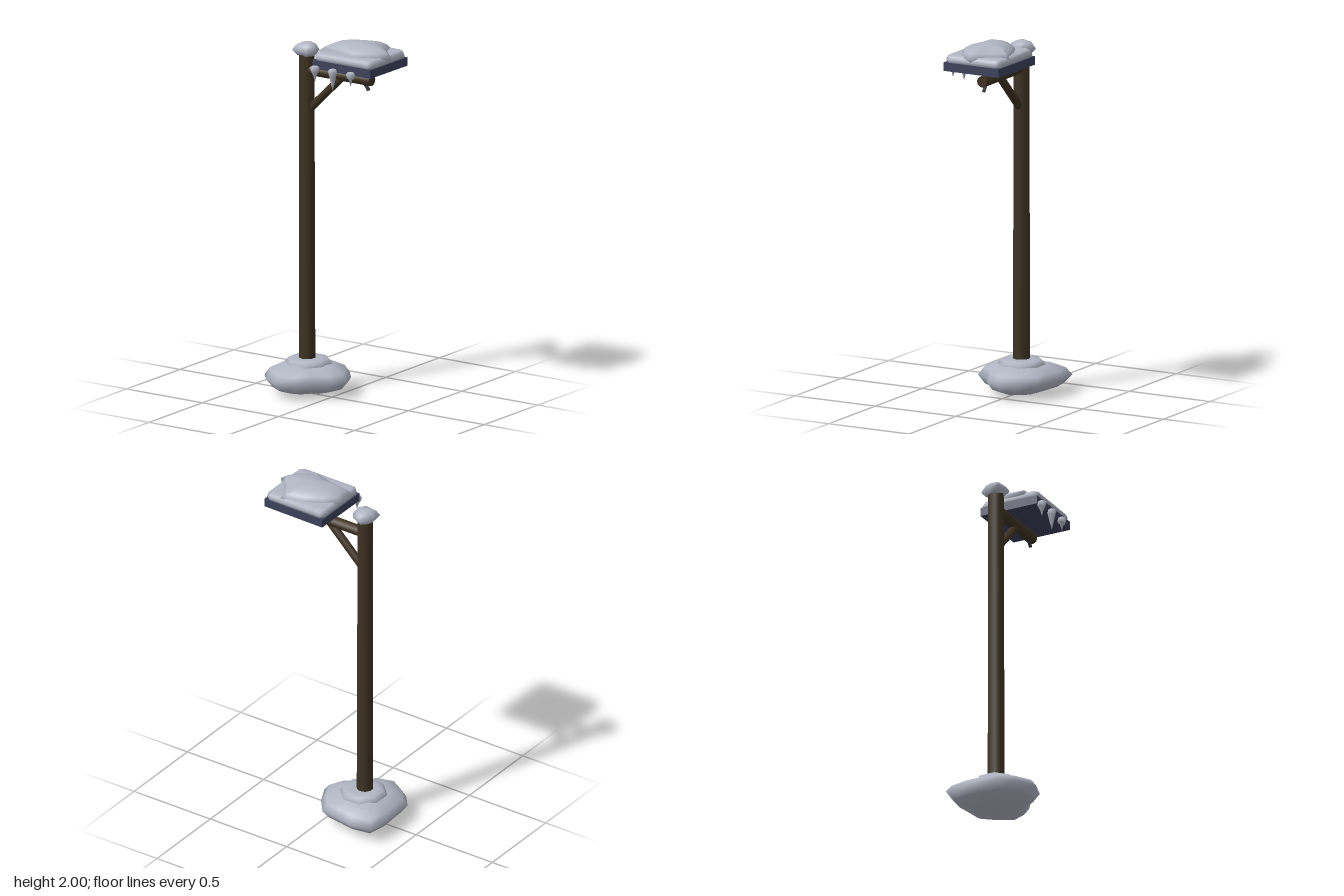
import * as THREE from 'three';

export function createModel() {
  const model = new THREE.Group();
  const mat = (name, color) => Object.assign(new THREE.MeshStandardMaterial({ color }), { name });
  const snow = mat('snow', 0xb0b5c2);
  const wood = mat('dark wood', 0x3e3222);
  const slate = mat('slate panel', 0x3c425a);
  const iron = mat('dark iron', 0x34363d);

  const add = (name, geometry, material) => {
    const mesh = new THREE.Mesh(geometry, material);
    mesh.name = name;
    model.add(mesh);
    return mesh;
  };

  // Smooth lump: an [x, z] outline scaled about (cx, cz) at each [y, scale] ring, closed at both ends
  function lump(name, outline, cx, cz, rings, yBottom, yTop, material = snow) {
    const n = outline.length, pos = [], idx = [];
    for (const [y, s] of rings)
      for (const [x, z] of outline) pos.push(cx + (x - cx) * s, y, cz + (z - cz) * s);
    const bottom = n * rings.length, top = bottom + 1, last = n * (rings.length - 1);
    pos.push(cx, yBottom, cz, cx, yTop, cz);
    for (let j = 0; j < n; j++) {
      const k = (j + 1) % n;
      for (let o = 0; o < last; o += n)
        idx.push(o + j, o + n + j, o + k, o + k, o + n + j, o + n + k);
      idx.push(bottom, j, k, top, last + k, last + j);
    }
    const g = new THREE.BufferGeometry();
    g.setAttribute('position', new THREE.Float32BufferAttribute(pos, 3));
    g.setIndex(idx);
    g.computeVertexNormals();
    return add(name, g, material);
  }

  // Round beam between two points
  function beam(name, a, b, r0, r1, sides, material = wood) {
    const from = new THREE.Vector3(...a), to = new THREE.Vector3(...b);
    const dir = to.clone().sub(from);
    const mesh = add(name, new THREE.CylinderGeometry(r1, r0, dir.length(), sides), material);
    mesh.position.copy(from).add(to).multiplyScalar(0.5);
    mesh.quaternion.setFromUnitVectors(new THREE.Vector3(0, 1, 0), dir.normalize());
    return mesh;
  }

  // Post, arm and brace
  beam('post', [-0.175, 0.05, -0.016], [-0.178, 1.89, -0.016], 0.046, 0.043, 10);
  beam('arm', [-0.175, 1.795, -0.017], [0.25, 1.795, -0.017], 0.031, 0.031, 10);
  beam('brace', [-0.16, 1.575, -0.016], [0.07, 1.8, -0.016], 0.022, 0.022, 8);
  beam('hook', [0.195, 1.785, -0.016], [0.23, 1.738, -0.016], 0.01, 0.01, 6, iron);

  // Snow drift around the foot
  lump('footSnow', [
    [0.088, -0.02], [0.045, 0.07], [-0.04, 0.125], [-0.1, 0.21], [-0.21, 0.242], [-0.31, 0.178],
    [-0.375, 0.1], [-0.385, -0.1], [-0.36, -0.225], [-0.24, -0.245], [-0.14, -0.228],
    [-0.035, -0.213], [0.04, -0.12],
  ], -0.17, -0.01, [[0.015, 0.5], [0.045, 0.84], [0.09, 1], [0.13, 0.88], [0.16, 0.62], [0.172, 0.35]], 0, 0.174);

  // Octagonal snow collar
  const collar = [];
  for (let i = 0; i < 8; i++) {
    const a = (i + 0.5) * Math.PI / 4;
    collar.push([-0.17 + 0.13 * Math.cos(a), -0.02 + 0.13 * Math.sin(a)]);
  }
  lump('snowCollar', collar, -0.17, -0.02, [[0.13, 0.95], [0.165, 1], [0.188, 0.85], [0.192, 0.6]], 0.12, 0.193);

  // Snow cap on the post
  lump('postCap', [
    [-0.107, 0], [-0.14, 0.048], [-0.24, 0.035], [-0.247, -0.02],
    [-0.225, -0.07], [-0.19, -0.098], [-0.14, -0.075], [-0.112, -0.04],
  ], -0.178, -0.018, [[1.874, 0.65], [1.902, 1], [1.93, 0.75], [1.942, 0.4]], 1.868, 1.946);

  // Roof panel, slightly turned
  const panel = add('roofPanel', new THREE.BoxGeometry(0.382, 0.047, 0.344), slate);
  panel.position.set(0.171, 1.882, -0.018);
  panel.rotation.y = -0.012;

  // Snow sheet with clipped corners
  lump('roofSnow', [
    [0.36, -0.165], [0.36, 0.13], [0.338, 0.152], [0, 0.152],
    [-0.02, 0.13], [-0.018, -0.165], [0.002, -0.187], [0.338, -0.187],
  ], 0.171, -0.018, [[1.9, 0.97], [1.92, 1], [1.938, 0.97], [1.947, 0.91], [1.948, 0.7]], 1.9, 1.948);

  // Snow mound on the roof
  lump('roofMound', [
    [0.382, -0.008], [0.335, 0.065], [0.22, 0.127], [0.11, 0.094], [-0.03, 0.078], [-0.033, -0.04],
    [0.03, -0.105], [0.125, -0.152], [0.22, -0.176], [0.26, -0.184], [0.3, -0.1], [0.35, -0.046],
  ], 0.175, -0.02, [[1.915, 0.85], [1.94, 1], [1.966, 0.85], [1.986, 0.62], [1.996, 0.32]], 1.905, 2);

  // Icicles along the front eave
  for (const [x, tip] of [[0.005, 1.79], [0.122, 1.76], [0.24, 1.8]]) {
    const profile = [[0, tip], [0.01, tip + 0.035], [0.022, 1.845], [0.028, 1.865], [0.018, 1.878], [0, 1.882]];
    const icicle = add('icicle', new THREE.LatheGeometry(profile.map(p => new THREE.Vector2(...p)), 5), snow);
    icicle.position.set(x, 0, 0.168);
  }
  return model;
}
